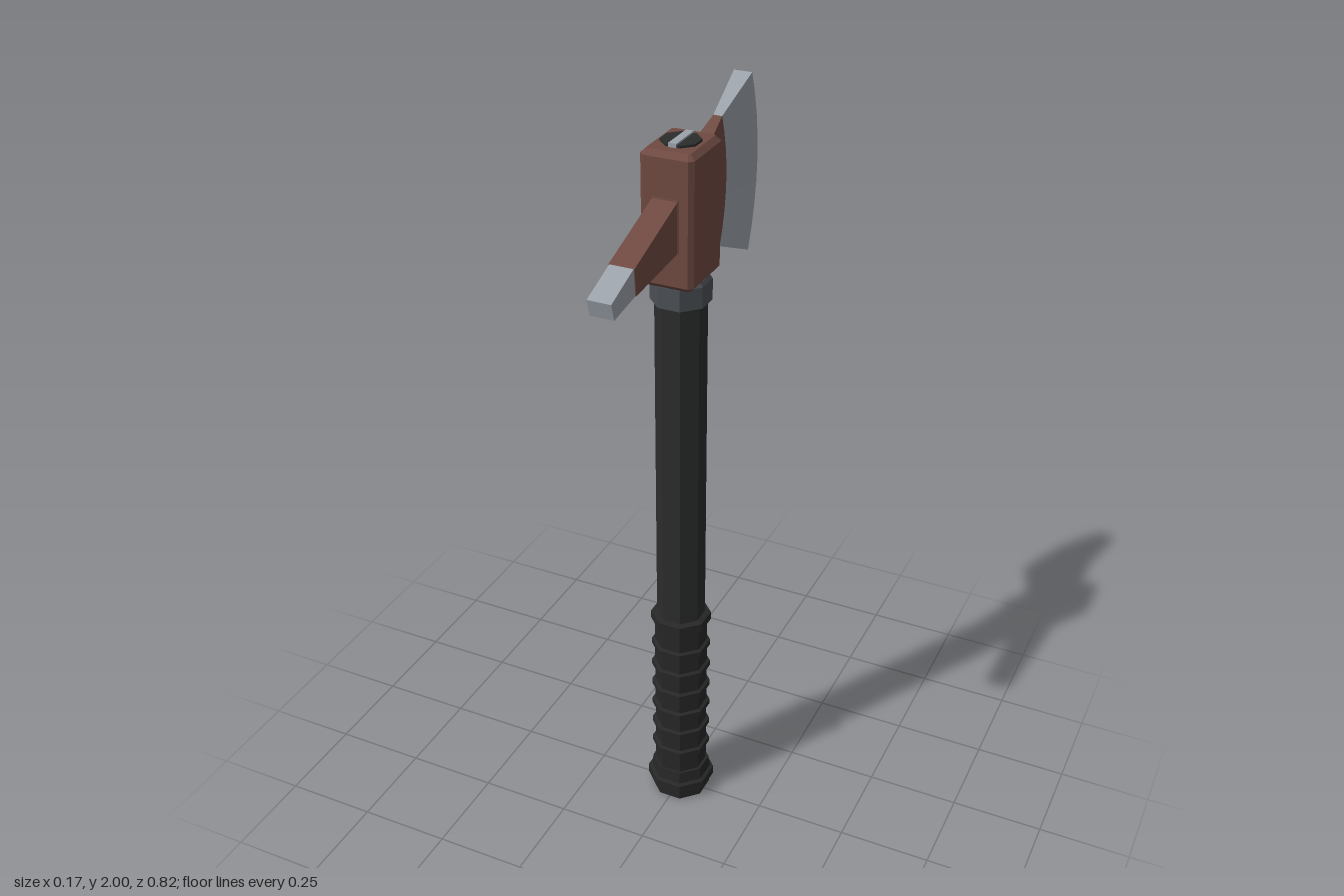
import * as THREE from 'three';

const AXIS_Z = -0.004; // centre line of the handle

function flat(name, color) {
  const m = new THREE.MeshStandardMaterial({ color, flatShading: true });
  m.name = name;
  return m;
}

// Eight-sided turned part; profile holds [apothem, y] pairs from bottom to top
function octagonal(profile) {
  const k = 1 / Math.cos(Math.PI / 8);
  const pts = profile.map(([r, y]) => new THREE.Vector2(r * k, y));
  return new THREE.LatheGeometry(pts, 8, Math.PI / 8).translate(0, 0, AXIS_Z);
}

// Column of [z, y, halfWidth] points running upward, bulging toward -z in the middle
function column(bottom, top, halfWidth, bulge = 0, n = 1) {
  const pts = [];
  for (let j = 0; j <= n; j++) {
    const t = j / n, s = 2 * t - 1;
    pts.push([
      THREE.MathUtils.lerp(bottom[0], top[0], t) - bulge * (1 - s * s),
      THREE.MathUtils.lerp(bottom[1], top[1], t),
      halfWidth,
    ]);
  }
  return pts;
}

// Closed solid between two columns, a lying further toward +z than b
function slab(a, b) {
  const cols = [a, b], pos = [], n = a.length - 1;
  const p = (i, j, side) => [side * cols[i][j][2], cols[i][j][1], cols[i][j][0]];
  const quad = (q, r, s, t) => pos.push(...q, ...r, ...s, ...q, ...s, ...t);
  for (let j = 0; j < n; j++) {
    quad(p(0, j, 1), p(1, j, 1), p(1, j + 1, 1), p(0, j + 1, 1));
    quad(p(0, j + 1, -1), p(1, j + 1, -1), p(1, j, -1), p(0, j, -1));
    quad(p(0, j, -1), p(0, j, 1), p(0, j + 1, 1), p(0, j + 1, -1));
    quad(p(1, j, 1), p(1, j, -1), p(1, j + 1, -1), p(1, j + 1, 1));
  }
  quad(p(0, n, 1), p(1, n, 1), p(1, n, -1), p(0, n, -1));
  quad(p(0, 0, -1), p(1, 0, -1), p(1, 0, 1), p(0, 0, 1));
  const g = new THREE.BufferGeometry();
  g.setAttribute('position', new THREE.Float32BufferAttribute(pos, 3));
  g.computeVertexNormals();
  return g;
}

// Upright block with every edge chamfered by c
function chamferedBlock(w, h, d, c) {
  const x = w / 2 - c, y = d / 2 - c, k = 0.004;
  const shape = new THREE.Shape([
    [x - k, -y], [x, -y + k], [x, y - k], [x - k, y],
    [-x + k, y], [-x, y - k], [-x, -y + k], [-x + k, -y],
  ].map(([u, v]) => new THREE.Vector2(u, v)));
  return new THREE.ExtrudeGeometry(shape, {
    depth: h - 2 * c, bevelEnabled: true, bevelSize: c, bevelThickness: c, bevelSegments: 1,
  }).translate(0, 0, c).rotateX(-Math.PI / 2);
}

export function createModel() {
  const model = new THREE.Group();
  const shaftMat = flat('dark shaft', 0x2b2c2c);
  const gripMat = flat('black grip', 0x272727);
  const collarMat = flat('gunmetal', 0x4b4f54);
  const paintMat = flat('red brown paint', 0x6f4a42);
  const steelMat = flat('bare steel', 0x9ba2aa);

  const add = (name, geometry, material) => {
    const mesh = new THREE.Mesh(geometry, material);
    mesh.name = name;
    model.add(mesh);
    return mesh;
  };

  // Handle
  add('shaft', octagonal([[0, 0.55], [0.06, 0.55], [0.06, 1.62], [0, 1.62]]), shaftMat);

  // Ribbed grip
  const grip = [[0, 0.08], [0.066, 0.08]];
  for (const y of [0.16, 0.23, 0.299, 0.368, 0.437, 0.51]) {
    grip.push([0.066, y - 0.012], [0.074, y - 0.008], [0.074, y + 0.008], [0.066, y + 0.012]);
  }
  grip.push([0.066, 0.582], [0.075, 0.588], [0.075, 0.612], [0.06, 0.616]);
  add('grip', octagonal(grip), gripMat);

  // Pommel
  add('pommel', octagonal([
    [0, 0], [0.075, 0], [0.076, 0.026], [0.086, 0.03], [0.086, 0.056],
    [0.077, 0.06], [0.073, 0.094], [0.06, 0.094],
  ]), gripMat);

  // Collar under the head
  add('collar', octagonal([
    [0.058, 1.547], [0.07, 1.547], [0.07, 1.602], [0.064, 1.612], [0, 1.612],
  ]), collarMat);

  // Head block with the handle end and its wedge on top
  add('headBlock', chamferedBlock(0.136, 0.337, 0.168, 0.013).translate(0, 1.604, AXIS_Z), paintMat);
  add('handleEnd', octagonal([[0.045, 1.93], [0.045, 1.947], [0, 1.947]]), shaftMat);
  add('wedge', new THREE.BoxGeometry(0.02, 0.012, 0.094).translate(0, 1.945, AXIS_Z), steelMat);

  // Raised pads where the blade and the spike meet the head
  add('bladePad', new THREE.BoxGeometry(0.072, 0.25, 0.02).translate(0, 1.768, -0.082), paintMat);
  add('spikePad', new THREE.BoxGeometry(0.068, 0.13, 0.02).translate(0, 1.768, 0.073), paintMat);

  // Spike: painted root and bare tip
  const spikeJoin = [[0.296, 1.689], [0.302, 1.757]];
  add('spikeRoot', slab(column(...spikeJoin, 0.032), column([0.07, 1.705], [0.07, 1.835], 0.032)), paintMat);
  add('spikeTip', slab(column([0.398, 1.675], [0.41, 1.718], 0.03), column(...spikeJoin, 0.03)), steelMat);

  // Blade: painted cheek, bare steel flare and sharpened edge
  const n = 8;
  const join = column([-0.203, 1.605], [-0.207, 1.936], 0.0115, 0.033, n);
  add('bladeCheek', slab(column([-0.085, 1.65], [-0.085, 1.888], 0.024, 0, n), join), paintMat);
  add('bladeFlare', slab(join, column([-0.355, 1.537], [-0.355, 2], 0.024, 0.047, n)), steelMat);
  add('cuttingEdge', slab(
    column([-0.358, 1.565], [-0.358, 1.972], 0.013, 0.037, n),
    column([-0.374, 1.568], [-0.374, 1.969], 0.002, 0.037, n),
  ), steelMat);

  return model;
}
